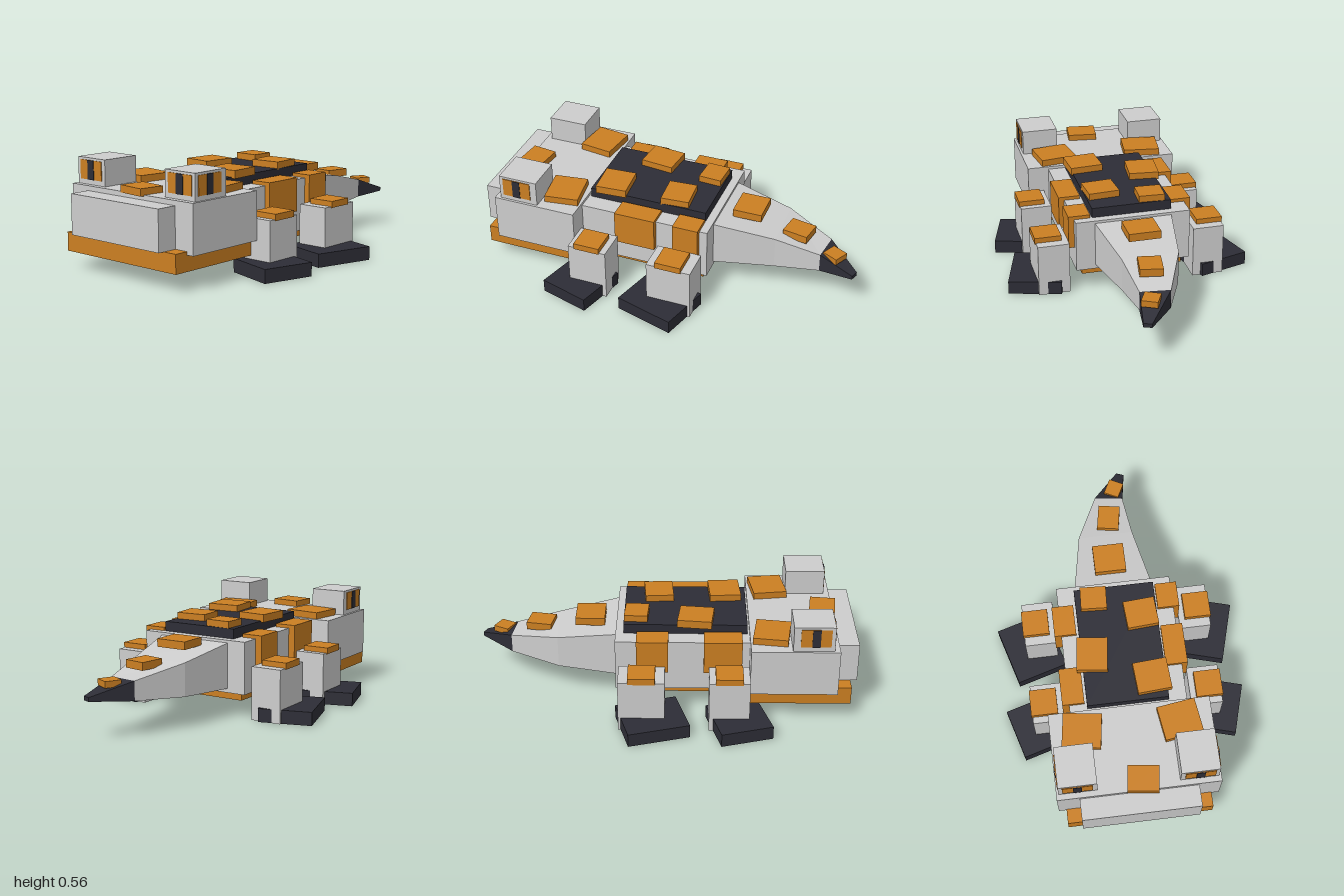
import * as THREE from 'three';

const mat = (name, color) => {
  const m = new THREE.MeshStandardMaterial({ color, side: THREE.DoubleSide, flatShading: true });
  m.name = name;
  return m;
};

export function createModel() {
  const root = new THREE.Group();
  root.name = 'blockyReptile';
  const grey = mat('lightGrey', 0xcdcdcd);
  const orange = mat('orange', 0xcb7f22);
  const dark = mat('charcoal', 0x2d2d36);

  const add = (name, geo, material) => {
    const mesh = new THREE.Mesh(geo, material);
    mesh.name = name;
    root.add(mesh);
    return mesh;
  };

  // Box from its ranges on each axis
  const box = (name, material, [x0, x1], [y0, y1], [z0, z1]) => {
    const mesh = add(name, new THREE.BoxGeometry(Math.abs(x1 - x0), y1 - y0, z1 - z0), material);
    mesh.position.set((x0 + x1) / 2, (y0 + y1) / 2, (z0 + z1) / 2);
    return mesh;
  };

  // Box without its bottom face
  const openBox = (w, h, d) => {
    const geo = new THREE.BoxGeometry(w, h, d);
    const index = Array.from(geo.index.array);
    index.splice(18, 6);
    geo.setIndex(index);
    geo.clearGroups();
    return geo;
  };

  // Body, belly and back
  box('body', grey, [-0.305, 0.305], [0.13, 0.405], [-0.255, 0.445]);
  box('belly', orange, [-0.27, 0.27], [0.09, 0.16], [-0.225, 0.445]);
  box('backPlate', dark, [-0.213, 0.21], [0.4, 0.457], [-0.213, 0.428]);

  // Head
  box('head', grey, [-0.42, 0.42], [0.17, 0.42], [0.44, 0.89]);
  box('snout', grey, [-0.305, 0.305], [0.187, 0.395], [0.88, 1.0]);
  box('jaw', orange, [-0.38, 0.38], [0.09, 0.187], [0.44, 0.965]);

  for (const s of [1, -1]) {
    // Eye blocks with painted eyes on the front and outer side
    box('eyeBlock', grey, [s * 0.21, s * 0.407], [0.41, 0.555], [0.65, 0.86]);
    box('eyeFront', orange, [s * 0.233, s * 0.387], [0.445, 0.543], [0.858, 0.864]);
    box('pupilFront', dark, [s * 0.288, s * 0.332], [0.445, 0.543], [0.86, 0.867]);
    box('eyeSide', orange, [s * 0.405, s * 0.411], [0.445, 0.543], [0.686, 0.84]);
    box('pupilSide', dark, [s * 0.407, s * 0.414], [0.445, 0.543], [0.743, 0.785]);

    // Legs with knee plates and turned-in feet, hollow underneath
    for (const [end, z0, z1, footZ, footLength, plateZ] of [
      ['front', 0.23, 0.438, 0.387, 0.275, 0.333],
      ['rear', -0.235, 0.003, -0.06, 0.325, -0.115],
    ]) {
      add(end + 'Leg', openBox(0.167, 0.28, z1 - z0), grey)
        .position.set(s * 0.419, 0.14, (z0 + z1) / 2);
      box(end + 'KneePlate', orange, [s * 0.367, s * 0.508], [0.274, 0.308],
        [plateZ - 0.07, plateZ + 0.07]);
      const foot = add(end + 'Foot', openBox(0.28, 0.071, footLength), dark);
      foot.position.set(s * 0.475, 0.0355, footZ);
      foot.rotation.y = -s * THREE.MathUtils.degToRad(16);
    }
  }

  // Flank plates, staggered between the two sides
  for (const [x0, x1, z0, z1] of [
    [0.22, 0.335, -0.213, -0.075],
    [0.22, 0.335, 0.025, 0.245],
    [-0.34, -0.225, -0.145, 0.02],
    [-0.34, -0.225, 0.203, 0.4],
  ]) box('flankPlate', orange, [x0, x1], [0.245, 0.423], [z0, z1]);

  // Loose plates on top: x, z, width, depth, bottom, top, turn in degrees
  for (const [name, x, z, w, d, y0, y1, turn] of [
    ['backScute', -0.115, -0.147, 0.137, 0.122, 0.45, 0.492, -3],
    ['backScute', 0.123, -0.035, 0.165, 0.15, 0.45, 0.492, 4],
    ['backScute', -0.157, 0.162, 0.16, 0.178, 0.45, 0.492, -6],
    ['backScute', 0.137, 0.315, 0.177, 0.165, 0.45, 0.492, 4],
    ['headScute', -0.255, 0.553, 0.2, 0.18, 0.415, 0.456, -8],
    ['headScute', 0.25, 0.553, 0.2, 0.18, 0.415, 0.456, 8],
    ['headScute', 0.025, 0.835, 0.16, 0.135, 0.415, 0.453, -7],
    ['tailScute', -0.002, -0.395, 0.167, 0.155, 0.378, 0.42, 0],
    ['tailScute', 0.026, -0.665, 0.117, 0.135, 0.315, 0.356, -10],
    ['tailScute', 0.08, -0.873, 0.083, 0.088, 0.255, 0.288, -27],
  ]) {
    box(name, orange, [x - w / 2, x + w / 2], [y0, y1], [z - d / 2, z + d / 2])
      .rotation.y = THREE.MathUtils.degToRad(turn);
  }

  // Tail, bending to one side: left x, z, right x, z, bottom and top of each section
  const sections = [
    [-0.205, -0.25, 0.205, -0.25, 0.152, 0.392],
    [-0.15, -0.565, 0.145, -0.57, 0.165, 0.338],
    [-0.033, -0.825, 0.12, -0.805, 0.183, 0.283],
    [0.11, -1.0, 0.15, -0.985, 0.197, 0.218],
  ];
  for (let i = 0; i < 3; i++) {
    const geo = new THREE.BoxGeometry(2, 2, 2);
    const p = geo.attributes.position;
    for (let v = 0; v < p.count; v++) {
      const [xa, za, xb, zb, bottom, top] = sections[p.getZ(v) > 0 ? i : i + 1];
      const right = p.getX(v) > 0;
      p.setXYZ(v, right ? xb : xa, p.getY(v) > 0 ? top : bottom, right ? zb : za);
    }
    geo.computeVertexNormals();
    add(i < 2 ? 'tailSegment' : 'tailTip', geo, i < 2 ? grey : dark);
  }

  return root;
}
